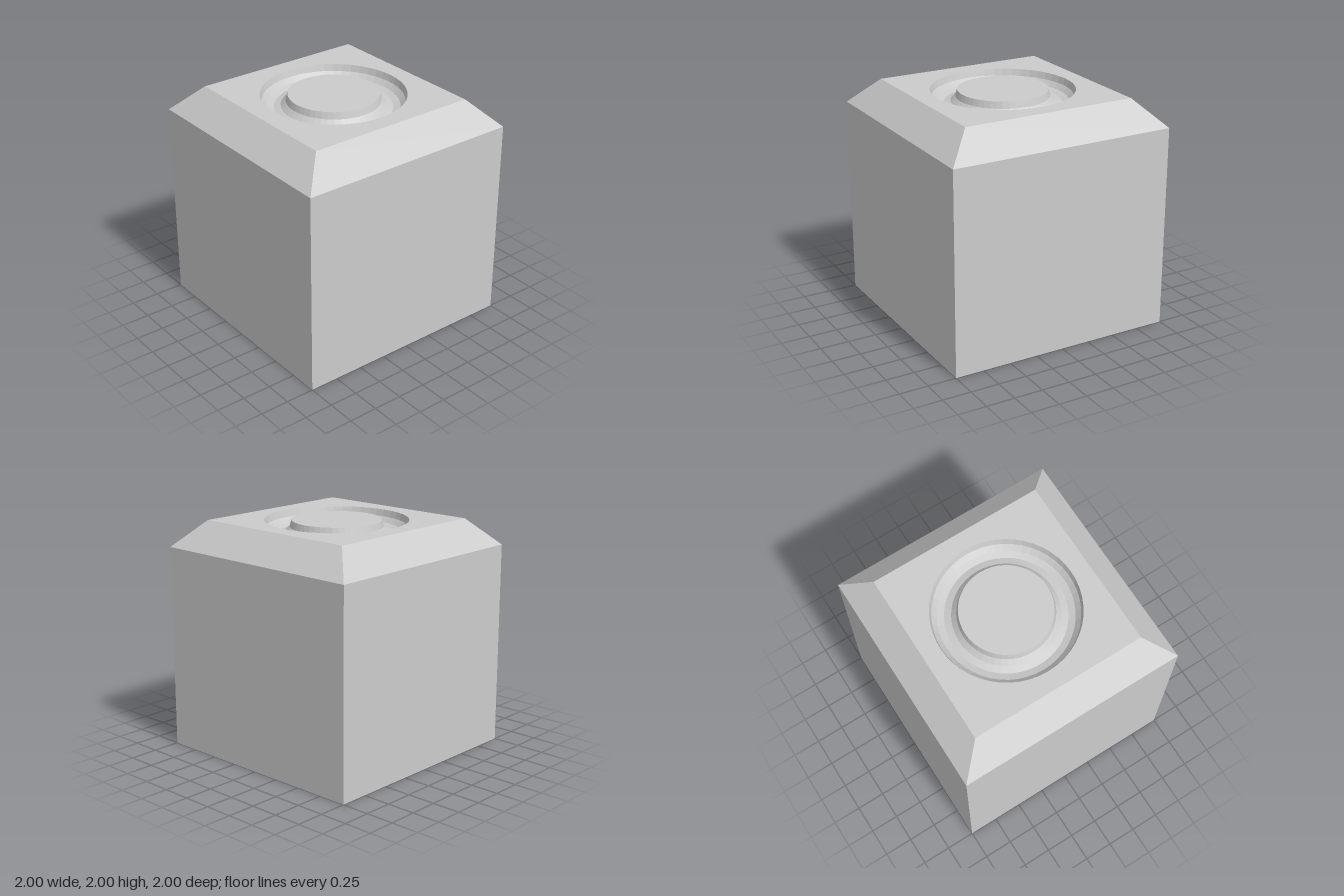
import * as THREE from 'three';

const SIDES = 48;      // facets around the groove
const TOP = 0.77;      // half width of the top face
const RING = 0.5;      // centre radius of the groove
const DEPTH = 0.115;   // radius of the groove's round section

export function createModel() {
  const group = new THREE.Group();
  const material = new THREE.MeshStandardMaterial({ color: 0xcccccc, flatShading: true });
  const add = (name, geometry) => {
    const mesh = new THREE.Mesh(geometry, material);
    mesh.name = name;
    group.add(mesh);
    return mesh;
  };
  const V = (x, y) => new THREE.Vector2(x, y);

  // Square block with a chamfered top edge: a four-sided lathe, open at the top
  const body = [V(0, 0), V(1, 0), V(1, 1.77), V(TOP, 2)].map((p) => V(p.x * Math.SQRT2, p.y));
  add('block', new THREE.LatheGeometry(body, 4, Math.PI / 4));

  // Flat top face with a round opening
  const face = new THREE.Shape([V(-TOP, -TOP), V(TOP, -TOP), V(TOP, TOP), V(-TOP, TOP)]);
  face.holes.push(new THREE.Path().absarc(0, 0, RING + DEPTH, 0, Math.PI * 2, true));
  const faceGeometry = new THREE.ShapeGeometry(face, SIDES / 2);
  faceGeometry.rotateX(-Math.PI / 2);
  add('topFace', faceGeometry).position.y = 2;

  // Half-round groove, from the outer rim inwards
  const groove = [];
  for (let i = 0; i <= 6; i++) {
    const a = (i / 6) * Math.PI;
    groove.push(V(RING + DEPTH * Math.cos(a), 2 - DEPTH * Math.sin(a)));
  }
  add('ringGroove', new THREE.LatheGeometry(groove, SIDES));

  // Flat disc inside the groove
  const disc = new THREE.CircleGeometry(RING - DEPTH, SIDES);
  disc.rotateX(-Math.PI / 2);
  add('centreDisc', disc).position.y = 2;

  return group;
}
